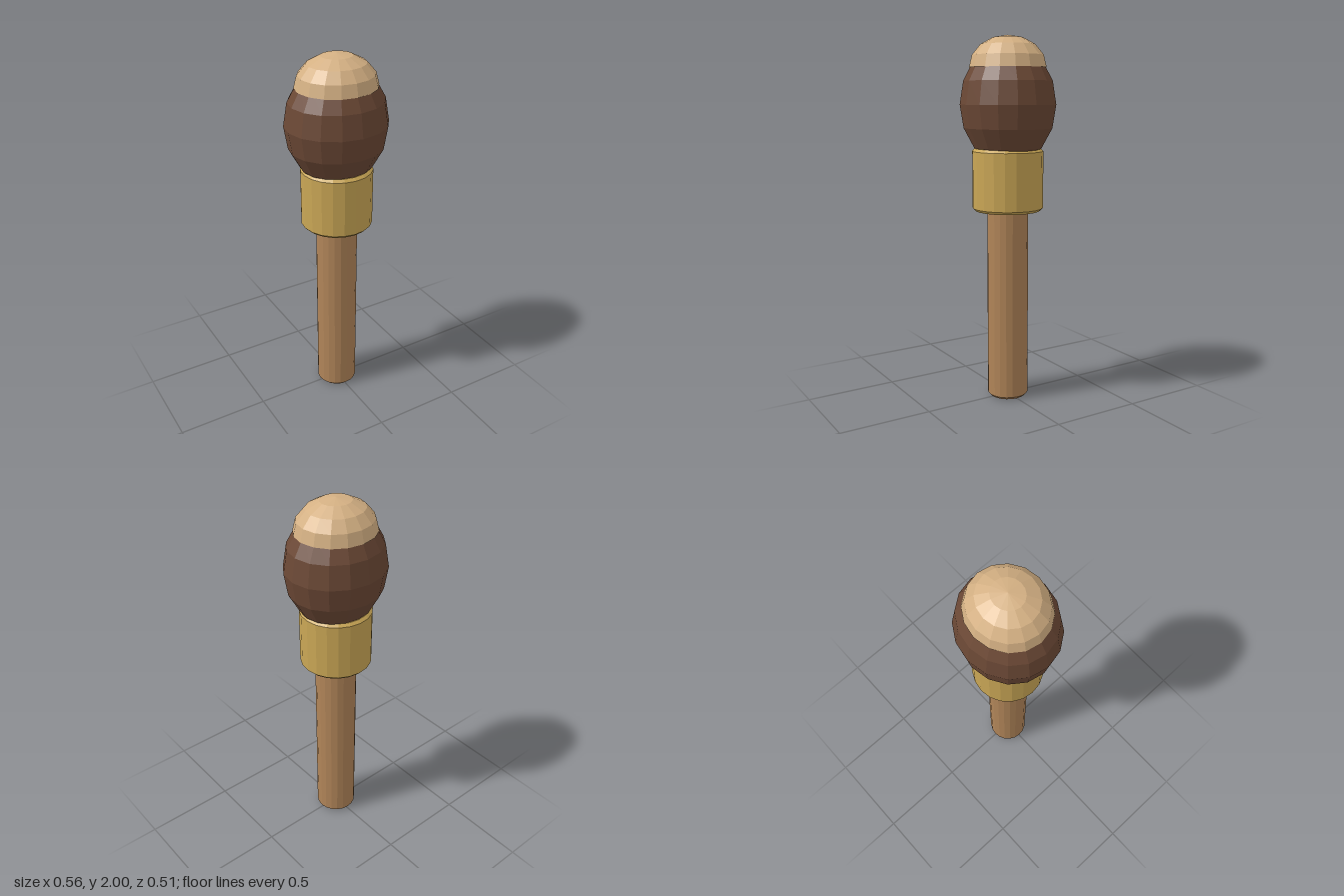
import * as THREE from 'three';

const material = (color) => new THREE.MeshStandardMaterial({ color, flatShading: true });

// Closed cylinder with small bevels at both ends
function beveledRod(name, radius, bottom, top, bevel, color) {
  const profile = [
    [0, bottom], [radius - bevel, bottom], [radius, bottom + bevel],
    [radius, top - bevel], [radius - bevel, top], [0, top],
  ].map(([x, y]) => new THREE.Vector2(x, y));
  const mesh = new THREE.Mesh(new THREE.LatheGeometry(profile, 20), material(color));
  mesh.name = name;
  return mesh;
}

// Faceted ellipsoid, or its upper half
function ellipsoid(name, y, rx, ry, rz, color, half = false) {
  const geometry = half
    ? new THREE.SphereGeometry(1, 16, 4, 0, Math.PI * 2, 0, Math.PI / 2)
    : new THREE.SphereGeometry(1, 16, 8);
  geometry.scale(rx, ry, rz);
  const mesh = new THREE.Mesh(geometry, material(color));
  mesh.material.side = half ? THREE.DoubleSide : THREE.FrontSide;
  mesh.position.y = y;
  mesh.name = name;
  return mesh;
}

export function createModel() {
  const brush = new THREE.Group();
  brush.name = 'brush';
  brush.add(
    beveledRod('handle', 0.113, 0, 1.1, 0.015, 0xb08458),
    beveledRod('ferrule', 0.194, 1.06, 1.4, 0.015, 0xc9a655),
    ellipsoid('bristles', 1.635, 0.278, 0.327, 0.255, 0x6b4835),
    ellipsoid('bristleTip', 1.83, 0.22, 0.17, 0.205, 0xd4b083, true),
  );
  return brush;
}
